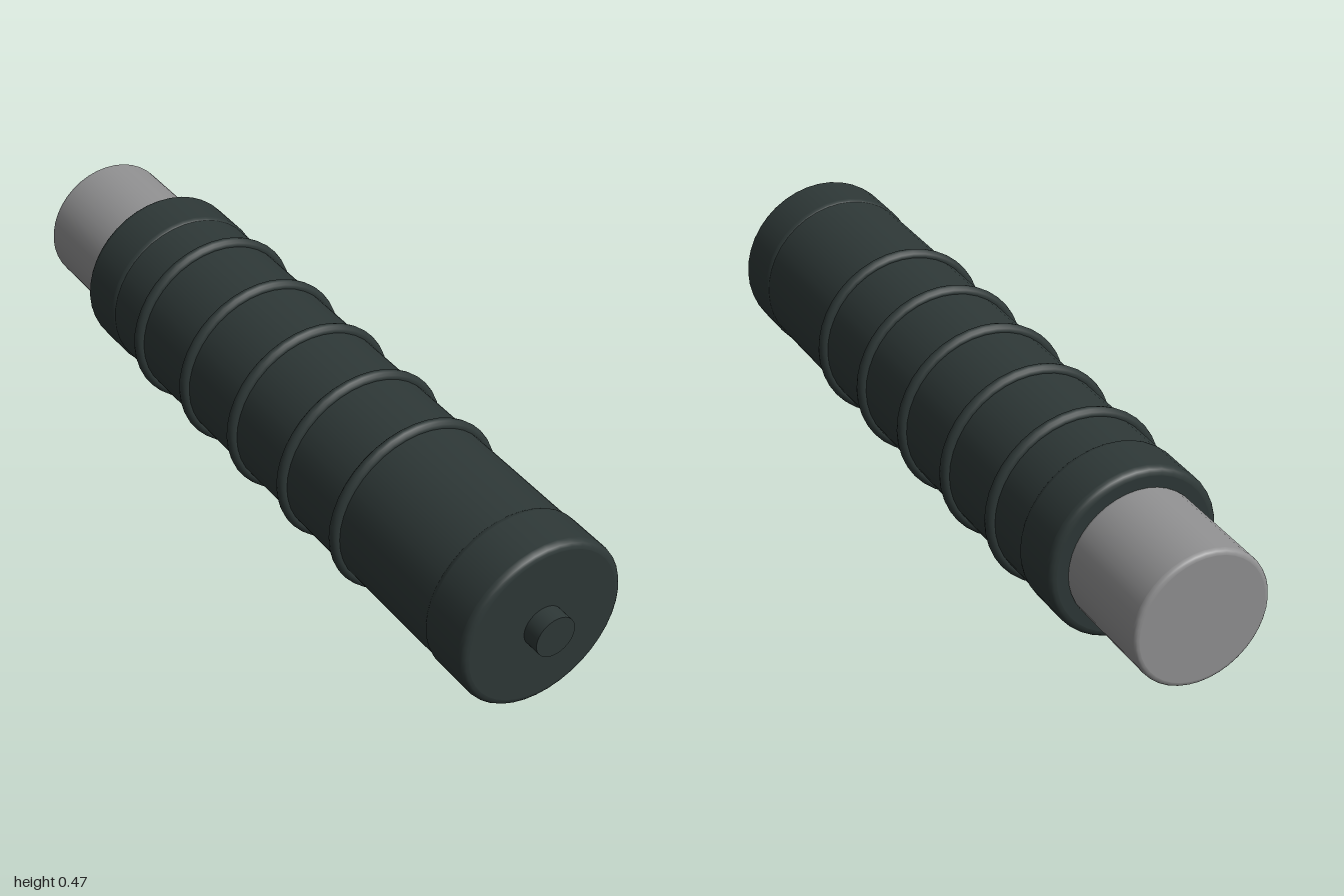
import * as THREE from 'three';

const AXIS_Y = 0.234;
const SIDES = 40;

const rubber = new THREE.MeshStandardMaterial({ color: 0x2e3837 });
rubber.name = 'dark rubber';
const metal = new THREE.MeshStandardMaterial({ color: 0x919192 });
metal.name = 'grey metal';

// Closed cylinder along z from z0 to z1, with rounded rims of size b
function roundedCylinder(name, r, z0, z1, b, material) {
  const arc = [];
  for (let i = 0; i <= 4; i++) {
    const a = (i / 4) * Math.PI / 2;
    arc.push([r - b + b * Math.sin(a), b - b * Math.cos(a)]);
  }
  const e = 0.001; // support loops keep flats crisp
  const points = [new THREE.Vector2(0, z0), new THREE.Vector2(r - b - e, z0)];
  arc.forEach(([x, d]) => points.push(new THREE.Vector2(x, z0 + d)));
  points.push(new THREE.Vector2(r, z0 + b + e), new THREE.Vector2(r, z1 - b - e));
  arc.reverse().forEach(([x, d]) => points.push(new THREE.Vector2(x, z1 - d)));
  points.push(new THREE.Vector2(r - b - e, z1), new THREE.Vector2(0, z1));
  const mesh = new THREE.Mesh(new THREE.LatheGeometry(points, SIDES).rotateX(Math.PI / 2), material);
  mesh.name = name;
  return mesh;
}

export function createModel() {
  const model = new THREE.Group();
  model.name = 'handle';
  const axis = new THREE.Group();
  axis.name = 'gripAssembly';
  axis.position.y = AXIS_Y;
  model.add(axis);

  // Long grip with slightly wider end collars
  axis.add(roundedCylinder('gripBody', 0.216, -0.70, 0.94, 0.01, rubber));
  axis.add(roundedCylinder('frontCollar', 0.22, 0.805, 0.955, 0.018, rubber));
  axis.add(roundedCylinder('rearCollar', 0.22, -0.717, -0.57, 0.018, rubber));

  // Five raised grip rings
  for (let i = -2; i <= 2; i++) {
    const ring = new THREE.Mesh(new THREE.TorusGeometry(0.219, 0.015, 12, SIDES), rubber);
    ring.name = 'gripRing';
    ring.position.z = 0.006 + i * 0.2245;
    axis.add(ring);
  }

  // Button on the front end
  const button = new THREE.Mesh(
    new THREE.CylinderGeometry(0.053, 0.053, 0.06, SIDES).rotateX(Math.PI / 2), rubber);
  button.name = 'endButton';
  button.position.z = 0.97;
  axis.add(button);

  // Metal stub at the back
  axis.add(roundedCylinder('metalStub', 0.173, -1, -0.71, 0.012, metal));

  return model;
}
